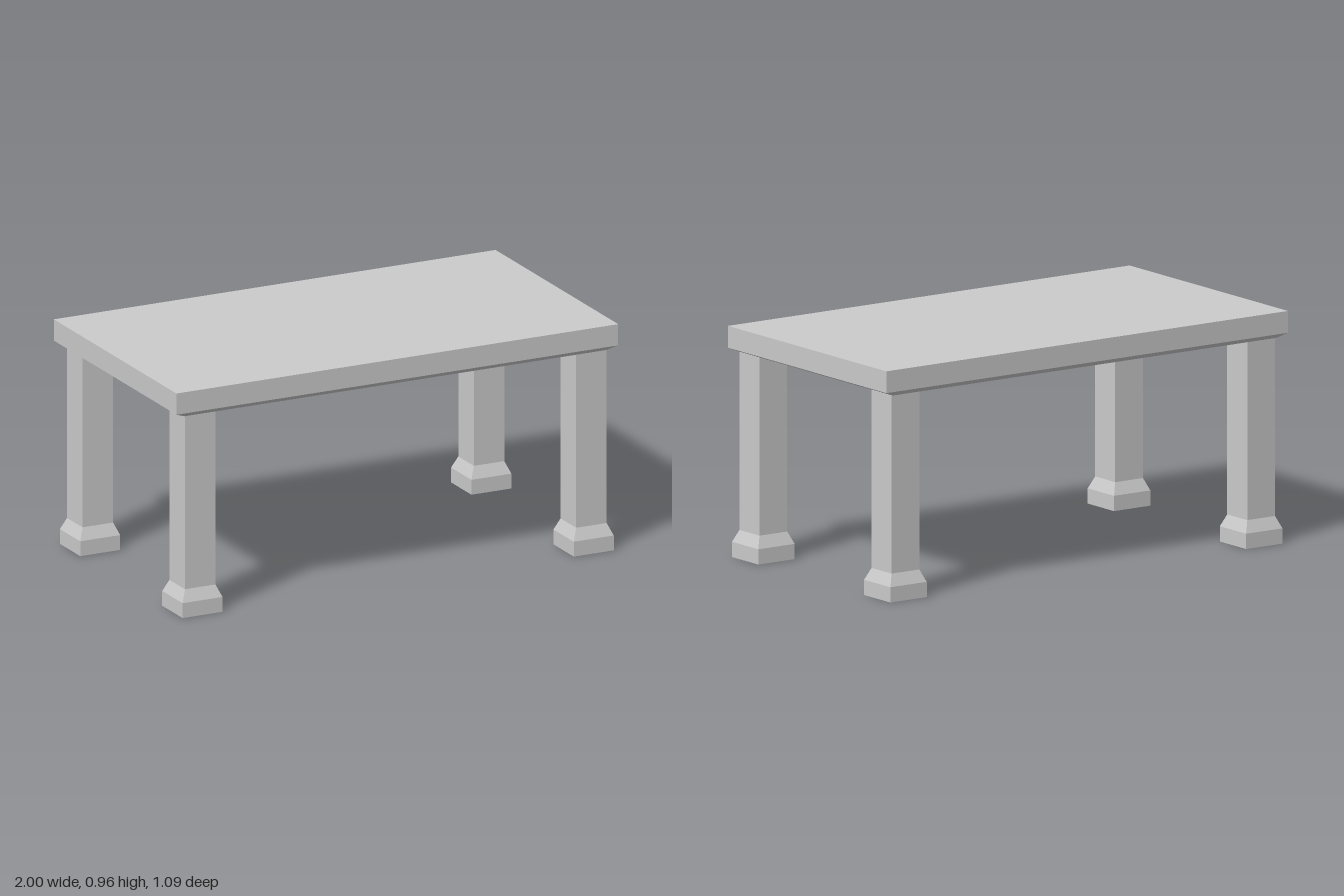
import * as THREE from 'three';

const material = new THREE.MeshStandardMaterial({ color: 0xcccccc, flatShading: true });

// Closed solid through stacked rectangles, each given as [y, width, depth], bottom to top
function loftRects(sections) {
  const positions = [];
  const index = [];
  for (const [y, w, d] of sections) {
    for (const [sx, sz] of [[1, 1], [1, -1], [-1, -1], [-1, 1]]) positions.push(sx * w / 2, y, sz * d / 2);
  }
  const quad = (a, b, c, d) => index.push(a, b, c, a, c, d);
  for (let s = 0; s < sections.length - 1; s++) {
    for (let i = 0; i < 4; i++) {
      const a = s * 4 + i;
      const b = s * 4 + (i + 1) % 4;
      quad(a, b, b + 4, a + 4);
    }
  }
  const t = (sections.length - 1) * 4;
  quad(3, 2, 1, 0);
  quad(t, t + 1, t + 2, t + 3);

  const indexed = new THREE.BufferGeometry();
  indexed.setAttribute('position', new THREE.Float32BufferAttribute(positions, 3));
  indexed.setIndex(index);
  const geometry = indexed.toNonIndexed();
  geometry.computeVertexNormals();
  return geometry;
}

export function createModel() {
  const group = new THREE.Group();
  group.name = 'table';

  const addPart = (name, geometry, x = 0, z = 0) => {
    const mesh = new THREE.Mesh(geometry, material);
    mesh.name = name;
    mesh.position.set(x, 0, z);
    group.add(mesh);
  };

  // Thick slab with a chamfered lower edge
  addPart('tableTop', loftRects([
    [0.847, 1.91, 1.05],
    [0.866, 2, 1.09],
    [0.956, 2, 1.09],
  ]));

  // Square legs, each flaring into a plinth foot
  const leg = loftRects([
    [0, 0.181, 0.181],
    [0.063, 0.181, 0.181],
    [0.113, 0.138, 0.138],
    [0.847, 0.138, 0.138],
  ]);
  for (const [side, x] of [['Left', 0.889], ['Right', -0.882]]) {
    for (const [end, z] of [['front', 0.455], ['back', -0.454]]) addPart(`${end}${side}Leg`, leg, x, z);
  }

  return group;
}
